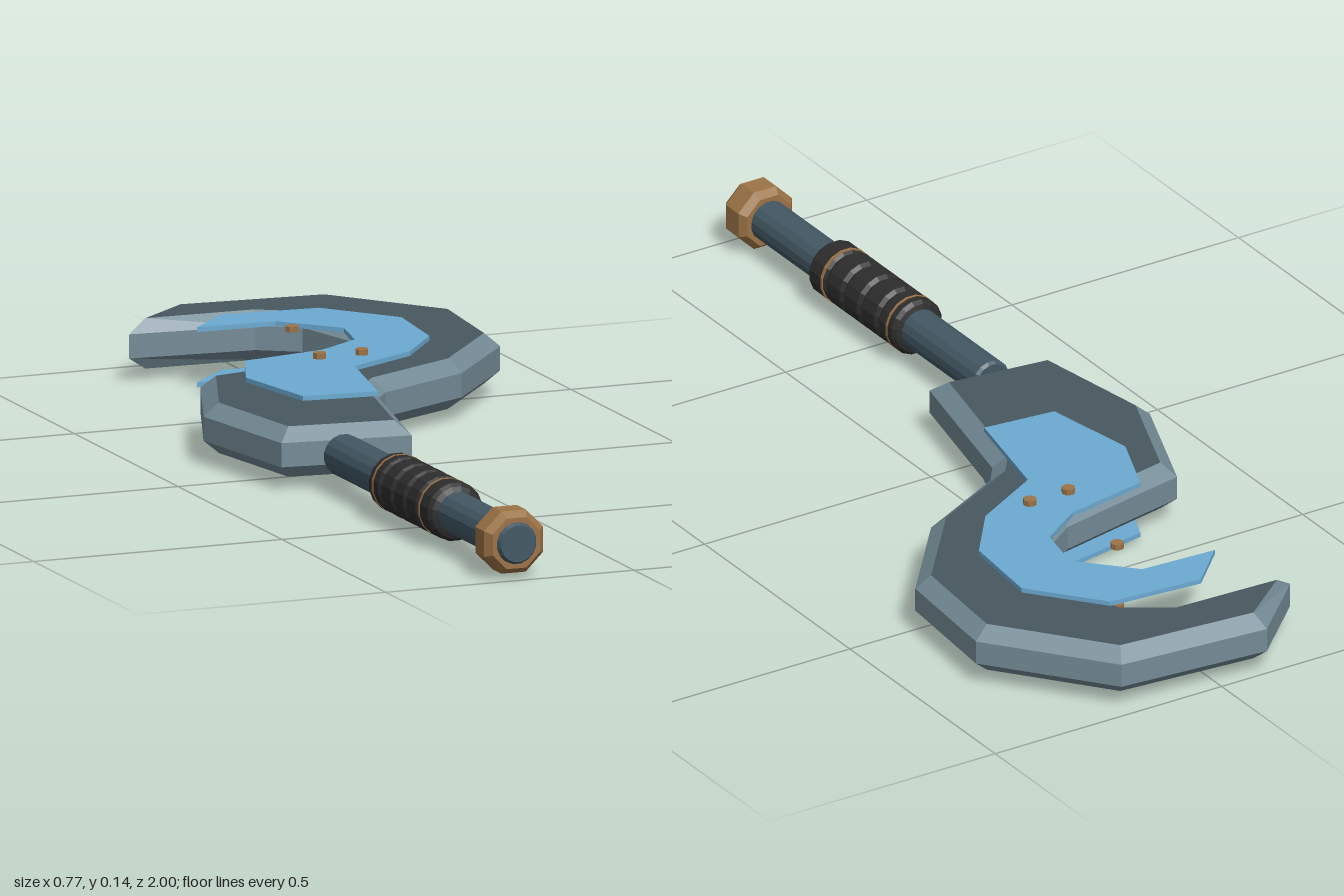
import * as THREE from 'three';

const mat = (name, color, flatShading = false) => {
  const m = new THREE.MeshStandardMaterial({ color, flatShading });
  m.name = name;
  return m;
};

const MID_Y = 0.072, SHAFT_X = -0.232;

// Plan outlines as [x, z]
const BODY = [
  [-0.235, -0.87], [-0.1, -1], [0.205, -0.975], [0.382, -0.75], [0.362, -0.51],
  [0.205, -0.32], [0.01, -0.22], [-0.02, -0.18], [-0.09, 0.145], [-0.34, 0.115],
  [-0.384, -0.155], [-0.29, -0.395], [-0.17, -0.42], [-0.01, -0.455], [0.1, -0.53],
  [0.125, -0.64], [0.085, -0.8], [0.01, -0.848],
];
const INLAY = [
  [-0.155, -0.735], [-0.07, -0.82], [0.12, -0.805], [0.23, -0.67], [0.215, -0.5],
  [0.13, -0.39], [-0.015, -0.31], [-0.06, -0.09], [-0.205, -0.105], [-0.24, -0.295],
  [-0.185, -0.432], [-0.015, -0.465], [0.075, -0.525], [0.095, -0.625], [0, -0.727],
];

// Flat slab lying in the xz plane, centred on y = 0
function slab(points, height, bevel = 0) {
  const shape = new THREE.Shape(points.map(([x, z]) => new THREE.Vector2(x, z)));
  const depth = height - 2 * bevel;
  const g = new THREE.ExtrudeGeometry(shape, {
    depth, bevelEnabled: bevel > 0, bevelThickness: bevel,
    bevelSize: bevel * 1.15, bevelOffset: -bevel * 1.15, bevelSegments: 1,
  });
  g.translate(0, 0, -depth / 2);
  g.rotateX(Math.PI / 2);
  return g;
}

// Turned part along z; the profile lists [radius, z] from back to front
function turned(profile, sides) {
  const g = new THREE.LatheGeometry(profile.map(([r, z]) => new THREE.Vector2(r, z)), sides);
  g.rotateY(Math.PI / sides);
  g.rotateX(Math.PI / 2);
  g.translate(SHAFT_X, MID_Y, 0);
  return g;
}

export function createModel() {
  const group = new THREE.Group();
  const darkSteel = mat('dark steel', 0x485860);
  const edgeSteel = mat('edge steel', 0x748b96);
  const blue = mat('blue inlay', 0x6caad2);
  const shaftSteel = mat('shaft steel', 0x435864, true);
  const bronze = mat('bronze', 0x9c7346, true);
  const gripBlack = mat('grip black', 0x2d2d2d, true);

  const add = (name, geometry, material, x = 0, y = 0, z = 0) => {
    const mesh = new THREE.Mesh(geometry, material);
    mesh.name = name;
    mesh.position.set(x, y, z);
    group.add(mesh);
  };

  // Hooked head with lighter bevelled edges
  add('hookHead', slab(BODY, 0.096, 0.025), [darkSteel, edgeSteel], 0, MID_Y);

  // Inlay plates and pins on both faces
  const inlay = slab(INLAY, 0.009);
  const pin = new THREE.CylinderGeometry(0.013, 0.013, 0.011, 8);
  for (const side of [1, -1]) {
    add('inlayPlate', inlay, blue, 0, MID_Y + side * 0.0525);
    for (const [x, z] of [[-0.05, -0.395], [0.035, -0.395], [-0.007, -0.63]]) {
      add('pin', pin, bronze, x, MID_Y + side * 0.0635, z);
    }
  }

  // Shaft
  add('shaft', turned([[0, 0.15], [0.035, 0.15], [0.04, 0.156], [0.04, 0.99],
    [0.035, 0.998], [0, 0.998]], 16), shaftSteel);

  // Ribbed grip
  const profile = [[0.04, 0.4]];
  const ribs = 5, pitch = 0.06;
  for (let i = 0; i < ribs; i++) {
    const z = 0.403 + i * pitch;
    profile.push([0.05, z], [0.056, z + 0.008], [0.056, z + 0.05], [0.05, z + 0.058]);
  }
  profile.push([0.04, 0.705]);
  add('grip', turned(profile, 16), gripBlack);

  // Thin bronze bands at the ends of the grip
  for (const z of [0.428, 0.652]) {
    add('gripBand', turned([[0.05, z - 0.003], [0.0568, z - 0.003],
      [0.0568, z + 0.003], [0.05, z + 0.003]], 16), bronze);
  }

  // Faceted pommel nut
  add('pommel', turned([[0.038, 0.918], [0.052, 0.918], [0.064, 0.932], [0.064, 0.975],
    [0.052, 0.99], [0.038, 0.99]], 8), bronze);

  return group;
}
